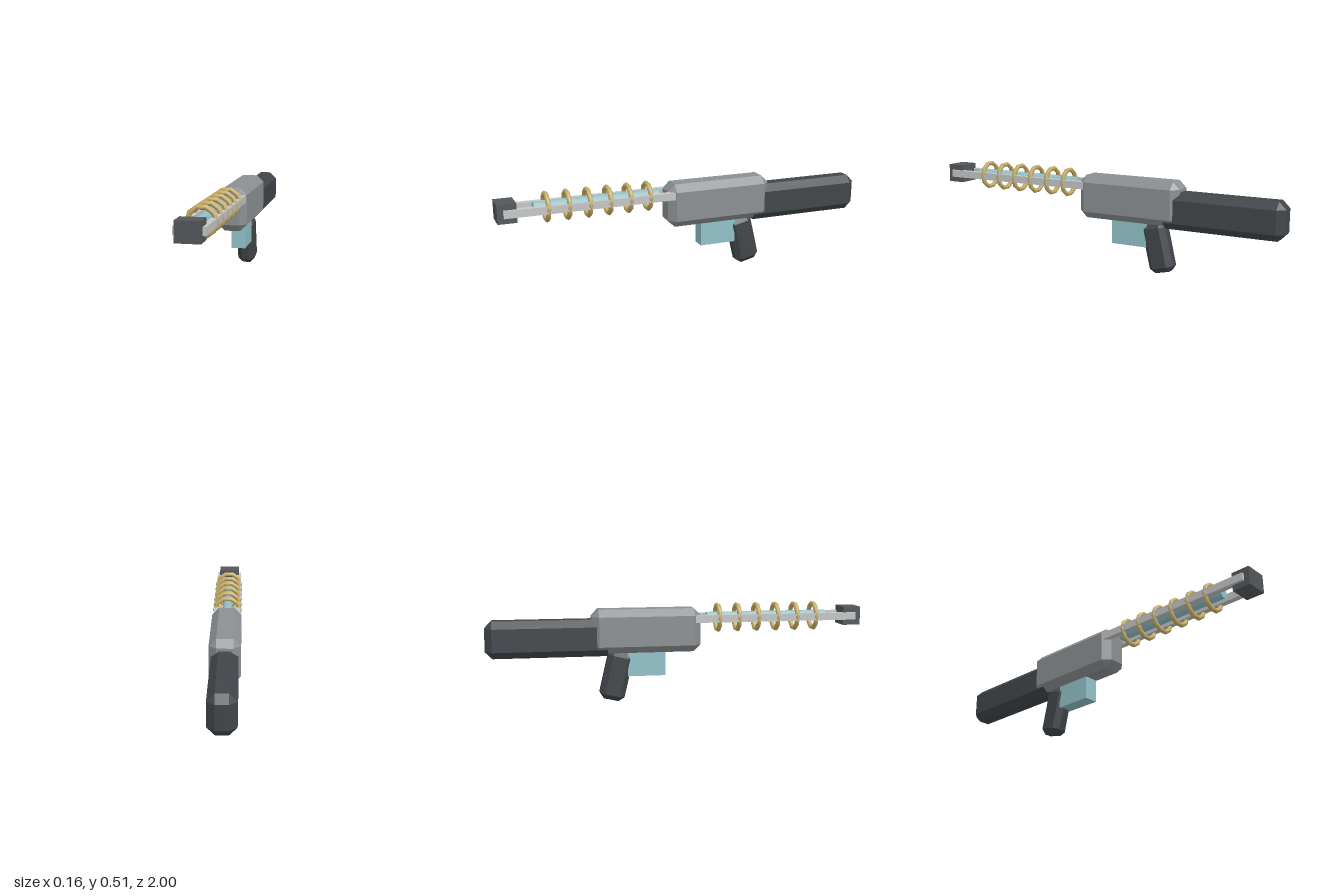
import * as THREE from 'three';
import { ConvexGeometry } from 'three/addons/geometries/ConvexGeometry.js';

const mat = (name, color) => {
  const m = new THREE.MeshStandardMaterial({ color });
  m.name = name;
  return m;
};

// Box with one flat bevel on every edge and a triangle on every corner
function bevelBox(w, h, d, b) {
  const pts = [];
  for (const sx of [-1, 1]) for (const sy of [-1, 1]) for (const sz of [-1, 1]) {
    const x = w / 2, y = h / 2, z = d / 2;
    pts.push(
      new THREE.Vector3(sx * x, sy * (y - b), sz * (z - b)),
      new THREE.Vector3(sx * (x - b), sy * y, sz * (z - b)),
      new THREE.Vector3(sx * (x - b), sy * (y - b), sz * z),
    );
  }
  return new ConvexGeometry(pts);
}

export function createModel() {
  const group = new THREE.Group();
  const grey = mat('body grey', 0x8c9092);
  const dark = mat('dark grip', 0x41464a);
  const steel = mat('muzzle grey', 0x54585b);
  const silver = mat('light rail', 0xc4c7c6);
  const teal = mat('pale teal', 0x92c2c9);
  const gold = mat('coil gold', 0xc9ae66);

  const add = (name, geometry, material, x, y, z) => {
    const mesh = new THREE.Mesh(geometry, material);
    mesh.name = name;
    mesh.position.set(x, y, z);
    group.add(mesh);
    return mesh;
  };
  const axisY = 0.434;

  // Receiver, stock and raked grip
  add('body', bevelBox(0.156, 0.23, 0.575, 0.037), grey, 0, 0.375, -0.168);
  add('stock', bevelBox(0.134, 0.194, 0.66, 0.037), dark, 0, 0.342, -0.67);
  add('grip', bevelBox(0.095, 0.262, 0.134, 0.027), dark, 0, 0.136, -0.327).rotation.x = 0.23;

  // Power cell under the body
  add('cell', new THREE.BoxGeometry(0.076, 0.165, 0.2), teal, 0, 0.2175, -0.168);

  // Barrel: two rails, a glowing rod and a muzzle block
  for (const side of [-1, 1]) {
    add('rail', new THREE.BoxGeometry(0.031, 0.039, 0.9), silver, side * 0.0575, axisY, 0.52);
  }
  const rod = new THREE.CylinderGeometry(0.028, 0.028, 0.655, 8).rotateX(Math.PI / 2).rotateZ(Math.PI / 8);
  add('rod', rod, teal, 0, 0.437, 0.487);
  add('muzzle', new THREE.BoxGeometry(0.117, 0.098, 0.096), steel, 0, axisY, 0.952);

  // Evenly spaced coil rings
  const ring = new THREE.TorusGeometry(0.0675, 0.0125, 6, 10);
  for (let i = 0; i < 6; i++) add('coilRing', ring, gold, 0, axisY, 0.75 - i * 0.106);

  return group;
}
